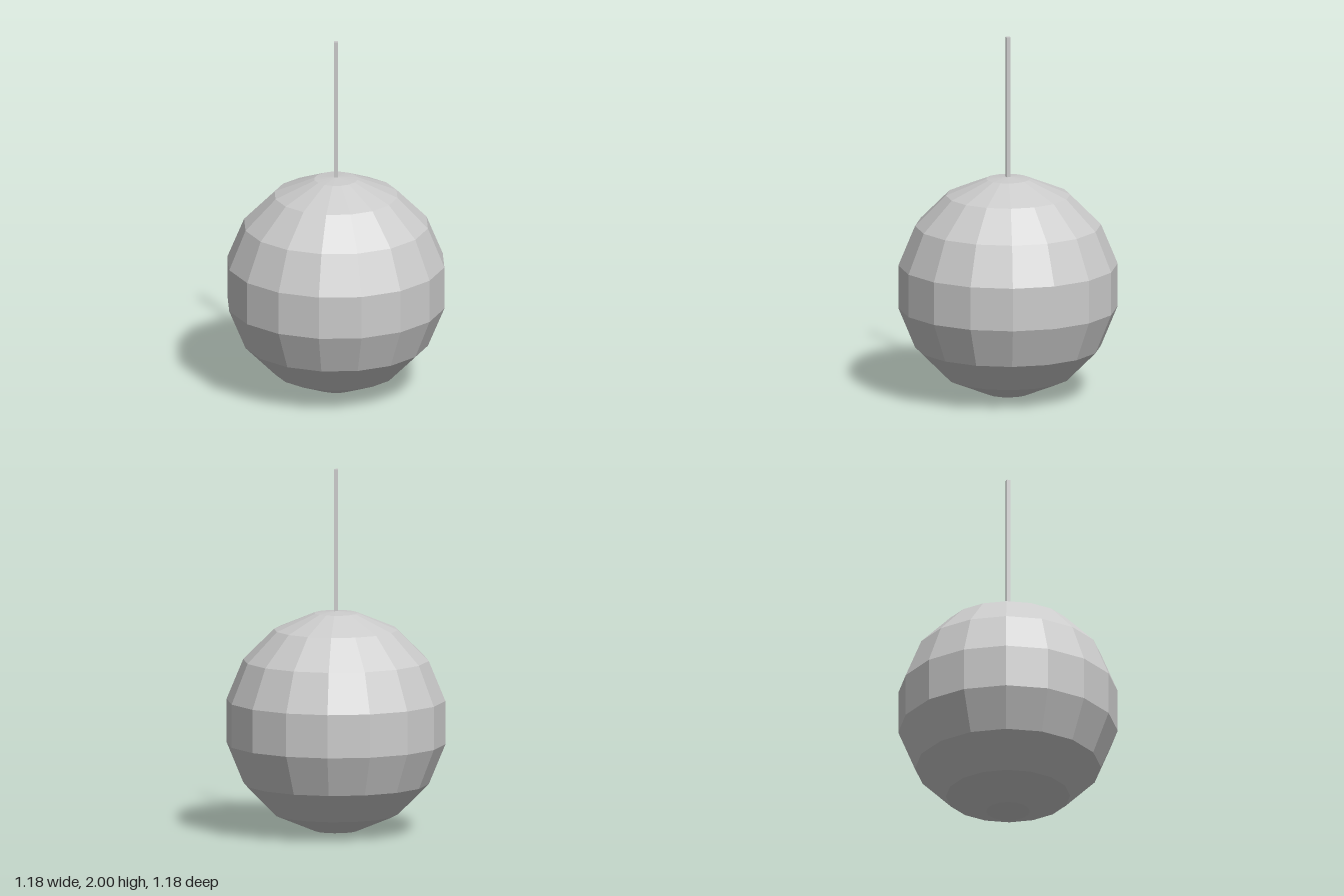
import * as THREE from 'three';

const SIDES = 16;
const RADIUS = 0.61;
const ROD_TOP = 2;
const ROD_BOTTOM = 1.2;
const ROD_WIDTH = 0.022;

export function createModel() {
  const group = new THREE.Group();
  group.name = 'pendantLamp';
  const material = new THREE.MeshStandardMaterial({ color: 0xcccccc, flatShading: true });

  // Faceted globe: eight rings at odd multiples of 11.25 degrees, closed by shallow caps
  const profile = [new THREE.Vector2(0, 0)];
  for (let i = 0; i < 8; i++) {
    const a = ((i + 0.5) * Math.PI) / 8;
    profile.push(new THREE.Vector2(RADIUS * Math.sin(a), RADIUS * (1 - Math.cos(a))));
  }
  profile.push(new THREE.Vector2(0, 2 * RADIUS));
  const globe = new THREE.Mesh(
    new THREE.LatheGeometry(profile, SIDES, THREE.MathUtils.degToRad(12.6)),
    material
  );
  globe.name = 'globe';
  group.add(globe);

  // Thin square rod the globe hangs from
  const rod = new THREE.Mesh(
    new THREE.BoxGeometry(ROD_WIDTH, ROD_TOP - ROD_BOTTOM, ROD_WIDTH),
    material
  );
  rod.name = 'hangingRod';
  rod.position.y = (ROD_TOP + ROD_BOTTOM) / 2;
  group.add(rod);

  return group;
}
